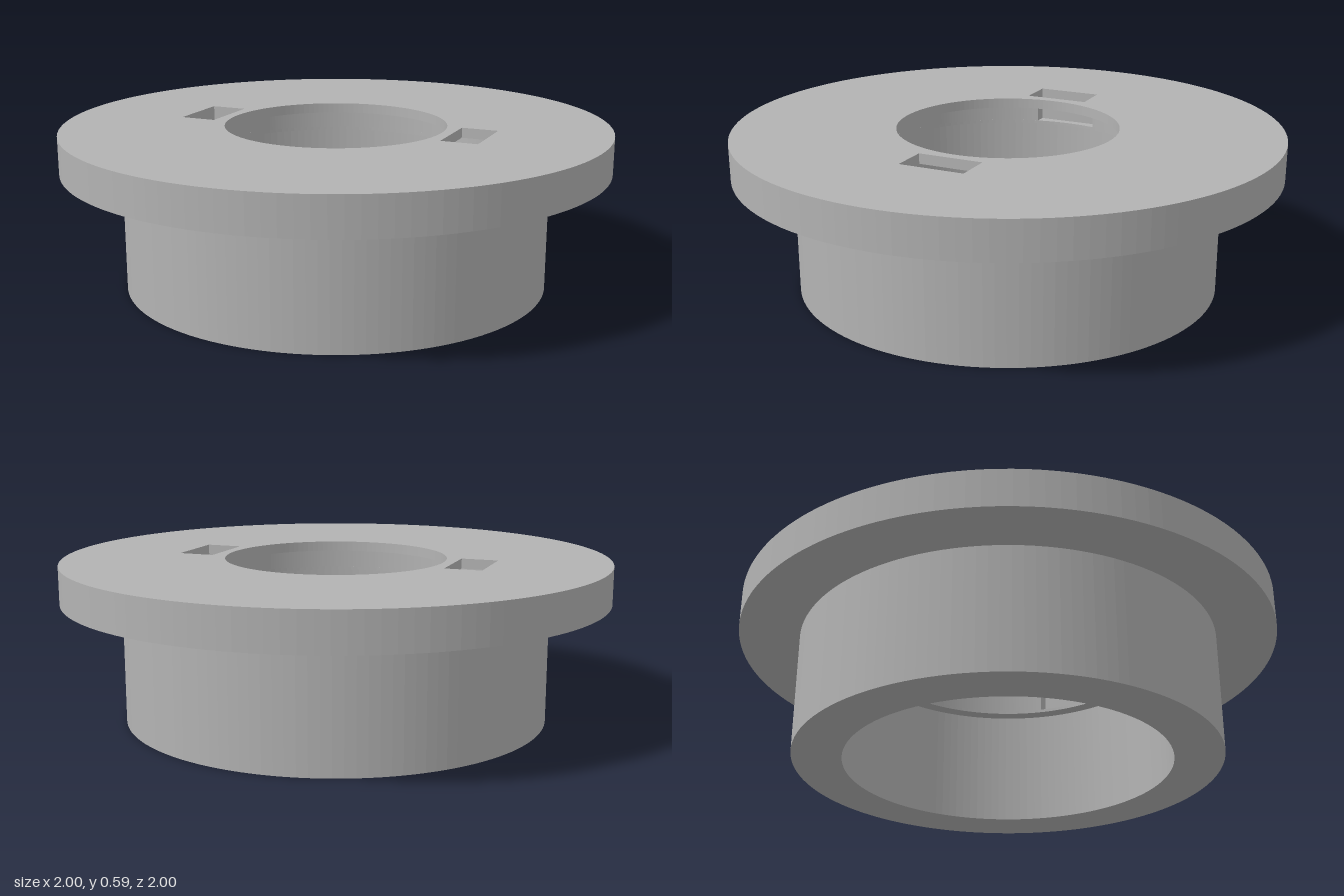
import * as THREE from 'three';

const SEGMENTS = 64;
const FLANGE_R = 1, BARREL_R = 0.78, BORE_R = 0.6, RECESS_R = 0.55, HOLE_R = 0.407;
const SLOT_IN = 0.445, SLOT_OUT = 0.58, SLOT_HALF = 0.12;

function circle(radius, PathType = THREE.Path) {
  return new PathType().absarc(0, 0, radius, 0, Math.PI * 2, false);
}

// Rectangular slot on one side of the centre
function slot(side) {
  const a = side * SLOT_IN, b = side * SLOT_OUT, h = SLOT_HALF;
  return new THREE.Path([[a, -h], [b, -h], [b, h], [a, h], [a, -h]].map(([x, y]) => new THREE.Vector2(x, y)));
}

// Round recess with a square notch on each side
function notchedRecess() {
  const a = Math.asin(SLOT_HALF / RECESS_R), path = new THREE.Path();
  path.moveTo(SLOT_OUT, SLOT_HALF);
  path.lineTo(RECESS_R * Math.cos(a), SLOT_HALF);
  path.absarc(0, 0, RECESS_R, a, Math.PI - a, false);
  path.lineTo(-SLOT_OUT, SLOT_HALF);
  path.lineTo(-SLOT_OUT, -SLOT_HALF);
  path.absarc(0, 0, RECESS_R, Math.PI + a, Math.PI * 2 - a, false);
  path.lineTo(SLOT_OUT, -SLOT_HALF);
  path.closePath();
  return path;
}

export function createModel() {
  const model = new THREE.Group();
  model.name = 'flangedBushing';
  const grey = new THREE.MeshStandardMaterial({ color: 0xb3b3b3 });
  grey.name = 'plainGrey';

  // Disc with holes, standing between two heights
  function addLayer(name, radius, holes, bottom, top) {
    const shape = circle(radius, THREE.Shape);
    shape.holes.push(...holes);
    const geometry = new THREE.ExtrudeGeometry(shape, {
      depth: top - bottom, bevelEnabled: false, curveSegments: SEGMENTS,
    });
    geometry.rotateX(-Math.PI / 2);
    const mesh = new THREE.Mesh(geometry, grey);
    mesh.name = name;
    mesh.position.y = bottom;
    model.add(mesh);
  }

  // Hollow barrel below the flange
  addLayer('barrel', BARREL_R, [circle(BORE_R)], 0, 0.45);
  // Flange: ledge under the slots, notched recess, then the top plate
  addLayer('flangeLedge', FLANGE_R, [circle(RECESS_R)], 0.45, 0.462);
  addLayer('flangeRecess', FLANGE_R, [notchedRecess()], 0.462, 0.55);
  addLayer('flangeTop', FLANGE_R, [circle(HOLE_R), slot(1), slot(-1)], 0.55, 0.587);
  return model;
}
